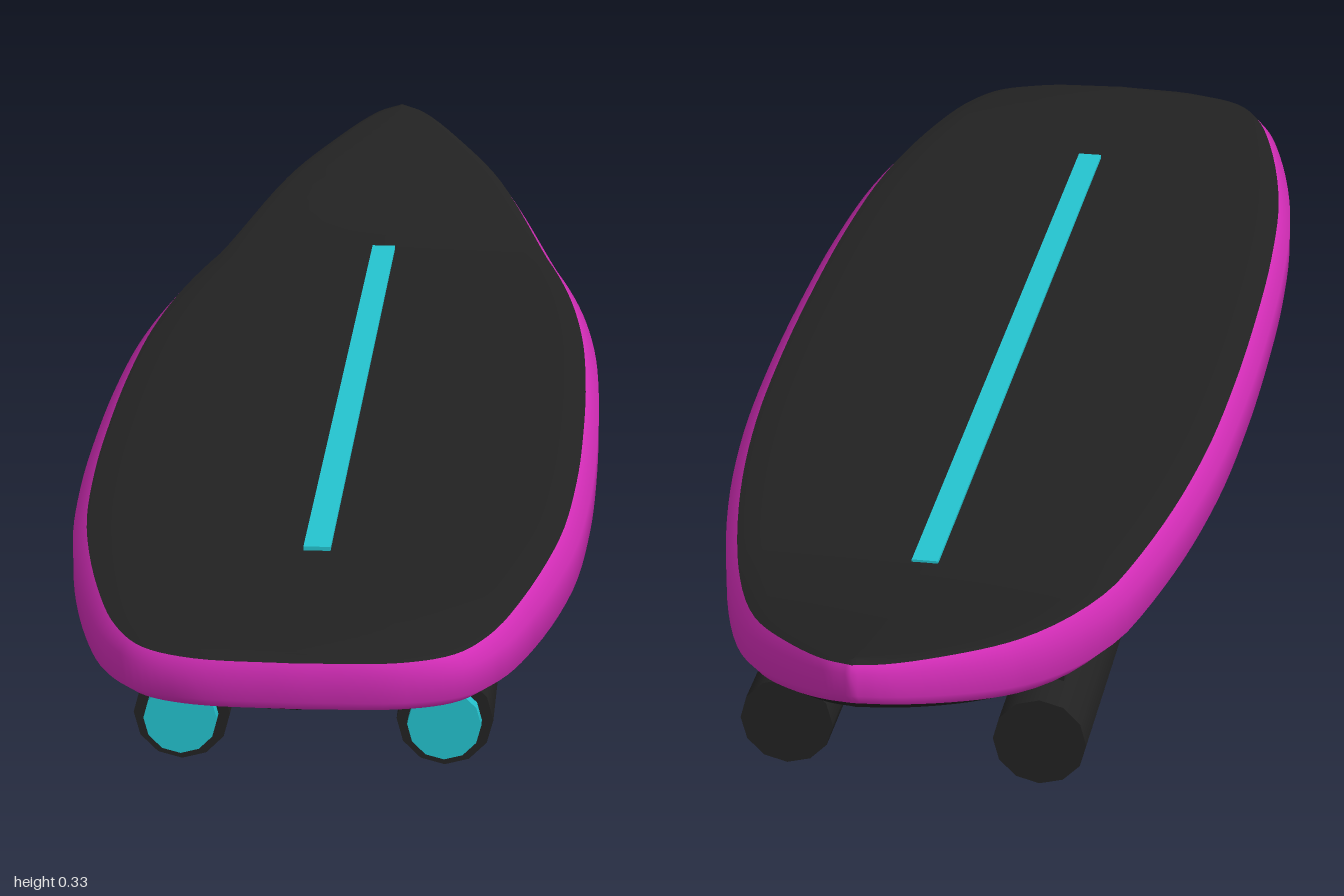
import * as THREE from 'three';

const black = new THREE.MeshStandardMaterial({ name: 'black grip', color: 0x222222 });
const magenta = new THREE.MeshStandardMaterial({ name: 'magenta rim', color: 0xd42db8 });
const teal = new THREE.MeshStandardMaterial({ name: 'teal trim', color: 0x24c3cf });

// Half outline of the deck (x, z) from pointed tail to blunt nose
const HALF = [
  [0, -1], [0.035, -0.98], [0.1, -0.9], [0.16, -0.8], [0.228, -0.6], [0.272, -0.4],
  [0.297, -0.2], [0.307, 0], [0.309, 0.2], [0.305, 0.4], [0.29, 0.6], [0.252, 0.8],
  [0.217, 0.91], [0.18, 0.965], [0.12, 0.992], [0, 1],
];
const MID = 0.185;

// Kicked-up tail
const lift = (z) => 0.121 * Math.pow(Math.max(0, -z - 0.55) / 0.45, 1.5);

// The deck thins towards both ends
function thickness(z) {
  const t = Math.max(0, (Math.abs(z) - 0.6) / 0.4);
  return 1 - (z > 0 ? 0.3 : 0.4) * t * t;
}

function deckOutline() {
  const curve = new THREE.CatmullRomCurve3(HALF.map(([x, z]) => new THREE.Vector3(x, 0, z)), false, 'centripetal');
  const half = curve.getPoints(75);
  const other = half.slice(1, -1).reverse().map((p) => new THREE.Vector3(-p.x, 0, p.z));
  return half.concat(other);
}

// Skin through rings of [x scale, z scale, height], listed from bottom to top
function deckBand(name, outline, rings, material) {
  const n = outline.length;
  const pos = [];
  const index = [];
  rings.forEach(([kx, kz, h], r) => {
    outline.forEach((p, i) => {
      const z = p.z * kz;
      pos.push(p.x * kx, MID + lift(z) + (h - MID) * thickness(z), z);
      if (r === rings.length - 1) return;
      const a = r * n + i;
      const b = r * n + ((i + 1) % n);
      index.push(a, a + n, b + n, a, b + n, b);
    });
  });
  const geo = new THREE.BufferGeometry();
  geo.setAttribute('position', new THREE.Float32BufferAttribute(pos, 3));
  geo.setIndex(index);
  geo.computeVertexNormals();
  const mesh = new THREE.Mesh(geo, material);
  mesh.name = name;
  return mesh;
}

function box(name, x0, x1, y0, y1, z0, z1, material) {
  const mesh = new THREE.Mesh(new THREE.BoxGeometry(x1 - x0, y1 - y0, z1 - z0), material);
  mesh.position.set((x0 + x1) / 2, (y0 + y1) / 2, (z0 + z1) / 2);
  mesh.name = name;
  return mesh;
}

// Twelve-sided cylinder lying along z
function roller(name, x, radius, z0, z1, material) {
  const geo = new THREE.CylinderGeometry(radius, radius, z1 - z0, 12).rotateX(Math.PI / 2);
  const mesh = new THREE.Mesh(geo, material);
  mesh.position.set(x, 0.056, (z0 + z1) / 2);
  mesh.name = name;
  return mesh;
}

export function createModel() {
  const model = new THREE.Group();
  model.name = 'skateboard';

  // Deck: underside, rounded rim and grip surface
  const outline = deckOutline();
  model.add(
    deckBand('deckUnderside', outline, [[0, 0.97, 0.136], [0.8, 0.97, 0.137], [0.93, 0.99, 0.146]], black),
    deckBand('deckRim', outline, [[0.93, 0.99, 0.146], [1, 1, 0.161], [1, 1, 0.205], [0.945, 0.995, 0.223]], magenta),
    deckBand('deckTop', outline, [[0.945, 0.995, 0.223], [0.82, 0.985, 0.231], [0, 0.985, 0.233]], black),
  );

  // Trim
  model.add(
    box('topStripe', -0.0155, 0.0155, 0.228, 0.237, -0.565, 0.685, teal),
    box('undersidePlate', -0.187, 0.187, 0.122, 0.14, -0.5, 0.62, teal),
  );

  // Four mounts with long wheels and front hubcaps
  for (const [end, z] of [['front', 0.6], ['rear', -0.5]]) {
    for (const [side, x] of [['Left', 0.15], ['Right', -0.15]]) {
      const wheel = new THREE.Group();
      wheel.name = `${end}${side}Wheel`;
      wheel.add(
        box('mount', x - 0.019, x + 0.019, 0.09, 0.145, z - 0.09, z + 0.09, black),
        roller('tyre', x, 0.055, z - 0.15, z + 0.15, black),
        roller('hubcap', x, 0.042, z + 0.14, z + 0.168, teal),
      );
      model.add(wheel);
    }
  }
  return model;
}
